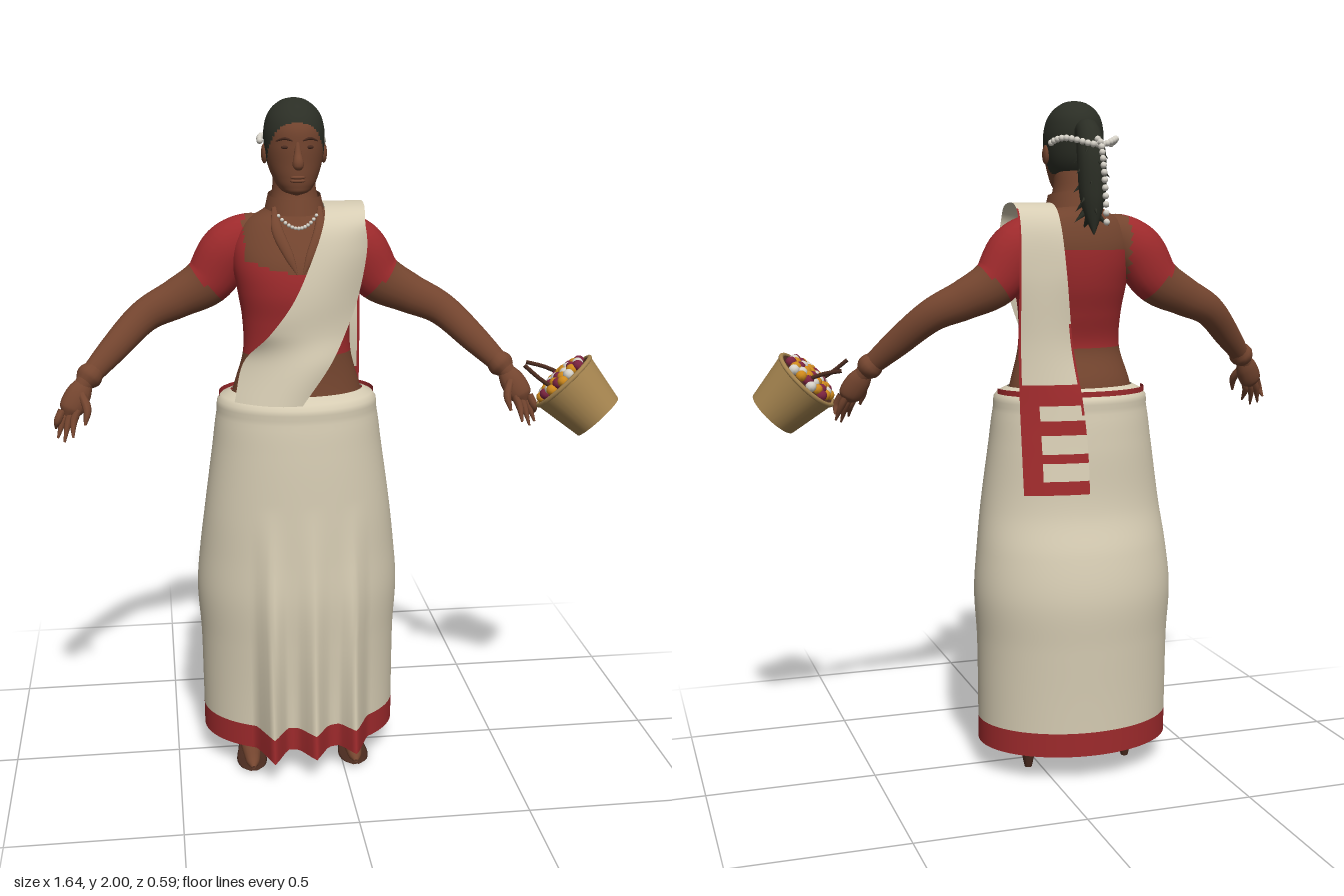
import * as THREE from 'three';

const CX = -0.12; // body centre line
const mat = (name, color, side = THREE.FrontSide) => {
  const m = new THREE.MeshStandardMaterial({ color, side });
  m.name = name;
  return m;
};

export function createModel() {
  const root = new THREE.Group();
  root.name = 'womanWithBasket';
  const skin = mat('skin brown', 0x74452f, THREE.DoubleSide);
  const red = mat('blouse red', 0x9e2a2c, THREE.DoubleSide);
  const cream = mat('cloth cream', 0xd6ccb3, THREE.DoubleSide);
  const hair = mat('hair black', 0x2b2e25);
  const wicker = mat('wicker tan', 0xa5844f);
  const pearl = mat('pearl white', 0xd6d2c8);
  const orange = mat('flower orange', 0xcf8a1c);
  const plum = mat('flower plum', 0x7c2440);
  const dark = mat('dark brown', 0x4a2b1f);

  const add = (name, geo, material, parent = root) => {
    const m = new THREE.Mesh(geo, material);
    m.name = name;
    parent.add(m);
    return m;
  };
  const ball = (name, m, p, r, parent = root) => {
    const b = add(name, new THREE.SphereGeometry(r, 10, 7), m, parent);
    b.position.set(...p);
    return b;
  };

  // Surface fn(u, v) on a grid; pick() chooses a material for each cell
  function surface(name, nu, nv, closed, fn, mats, pick = () => 0, parent = root) {
    const pos = [], lists = mats.map(() => []), w = closed ? nv : nv + 1;
    for (let i = 0; i <= nu; i++) for (let j = 0; j < w; j++) pos.push(...fn(i / nu, j / nv));
    for (let i = 0; i < nu; i++) for (let j = 0; j < nv; j++) {
      const a = i * w + j, b = i * w + (j + 1) % w, c = b + w, d = a + w;
      const mid = [0, 1, 2].map(k => (pos[a * 3 + k] + pos[b * 3 + k] + pos[c * 3 + k] + pos[d * 3 + k]) / 4);
      lists[pick(...mid, (i + 0.5) / nu, (j + 0.5) / nv)].push(a, b, c, a, c, d);
    }
    const geo = new THREE.BufferGeometry();
    geo.setAttribute('position', new THREE.Float32BufferAttribute(pos, 3));
    geo.setIndex(lists.flat());
    let start = 0;
    lists.forEach((l, k) => { geo.addGroup(start, l.length, k); start += l.length; });
    geo.computeVertexNormals();
    return add(name, geo, mats.length > 1 ? mats : mats[0], parent);
  }
  // Smooth interpolation of rows keyed by their first number
  const sampler = rows => new THREE.CubicInterpolant(rows.map(r => r[0]), rows.flatMap(r => r.slice(1)), rows[0].length - 1);

  // Upright loft from rows [y, half width, front z, back z]
  function loft(name, rows, nu, nv, mats, pick, bump = () => 0) {
    const s = sampler(rows), y0 = rows[0][0], y1 = rows[rows.length - 1][0];
    return surface(name, nu, nv, true, (u, v) => {
      const y = y0 + (y1 - y0) * u, a = v * Math.PI * 2;
      const [w, f, b] = s.evaluate(y);
      const x = CX + w * Math.sin(a);
      return [x, y, (f + b) / 2 + (f - b) / 2 * Math.cos(a) + (Math.cos(a) > 0 ? bump(x, y) : 0)];
    }, mats, pick);
  }
  // Tapered limb through points [x, y, z, radius]
  function limb(name, pts, { mats = [skin], pick, flat = 1, ref = [0, 0, 1], nu = 24, nv = 14, parent = root } = {}) {
    const curve = new THREE.CatmullRomCurve3(pts.map(p => new THREE.Vector3(...p)));
    const radius = sampler(pts.map((p, i) => [i / (pts.length - 1), p[3]]));
    const up = new THREE.Vector3(...ref);
    return surface(name, nu, nv, true, (u, v) => {
      const t = curve.getTangent(u), n = up.clone().cross(t).normalize(), b = t.clone().cross(n);
      const r = Math.max(radius.evaluate(u)[0], 0.001), a = v * Math.PI * 2;
      return curve.getPoint(u).addScaledVector(n, r * Math.cos(a)).addScaledVector(b, r * flat * Math.sin(a)).toArray();
    }, mats, pick, parent);
  }

  // Skirt with front pleats and a red hem
  const pleats = [[-0.22, 0.1], [-0.095, 0.075], [0.03, 0.085]];
  loft('skirt', [
    [0.08, 0.295, 0.2, -0.25], [0.25, 0.296, 0.2, -0.253], [0.4, 0.298, 0.205, -0.258],
    [0.55, 0.306, 0.21, -0.262], [0.68, 0.295, 0.205, -0.24], [0.8, 0.28, 0.2, -0.205],
    [1.0, 0.252, 0.19, -0.19], [1.1, 0.238, 0.18, -0.178], [1.15, 0.225, 0.168, -0.165], [1.165, 0.195, 0.13, -0.125],
  ], 75, 144, [cream, red], (x, y) => (y < 0.152 ? 1 : 0), (x, y) => {
    const k = Math.max(0, (0.85 - y) / 0.77) ** 1.3;
    return pleats.reduce((z, [p, amp]) => z + k * amp * Math.max(0, 1 - Math.abs(x - p) / 0.045), 0);
  });
  // Red edge at the back of the waist
  surface('waistTrim', 2, 32, false, (u, v) => {
    const a = Math.PI * (0.5 + v);
    return [CX + 0.229 * Math.sin(a), 1.138 + u * 0.022, 0.17 * Math.cos(a)];
  }, [red]);

  // Torso: bare midriff, blouse, bare neckline
  loft('torso', [
    [1.1, 0.205, 0.14, -0.14], [1.18, 0.185, 0.125, -0.122], [1.28, 0.158, 0.12, -0.09],
    [1.38, 0.158, 0.128, -0.112], [1.46, 0.17, 0.137, -0.135], [1.54, 0.182, 0.125, -0.146],
    [1.6, 0.175, 0.1, -0.145], [1.66, 0.135, 0.07, -0.13], [1.69, 0.085, 0.055, -0.115],
    [1.73, 0.066, 0.04, -0.1], [1.8, 0.06, 0.03, -0.09],
  ], 70, 64, [skin, red], (x, y, z) => {
    const dx = Math.abs(x - CX), neck = z > -0.03 ? 1.515 + dx * 0.25 : 1.57;
    return y > 1.28 && (y < neck || (dx > 0.15 && y < 1.65)) ? 1 : 0;
  });

  // Collar, lapels and necklace
  surface('collar', 6, 40, true, (u, v) => {
    const a = v * Math.PI * 2, back = (1 - Math.cos(a)) / 2, r = 1 - 0.12 * u;
    return [CX + 0.086 * r * Math.sin(a), 1.675 + 0.02 * back + u * 0.045, -0.025 + 0.092 * r * Math.cos(a)];
  }, [skin]);
  for (const s of [-1, 1]) {
    limb('lapel', [[CX + s * 0.065, 1.7, 0.045, 0.006], [CX + s * 0.06, 1.64, 0.085, 0.016],
      [CX + s * 0.03, 1.57, 0.118, 0.013], [CX + s * 0.008, 1.52, 0.132, 0.002]], { flat: 0.5 });
  }
  for (let i = -6; i <= 6; i++) {
    ball('necklaceBead', pearl, [CX + i * 0.009, 1.645 + i * i * 0.0009, 0.092 - i * i * 0.0008], 0.0055);
  }

  // Draped sash: [row, left x, right x, y, left z, right z, bulge]
  const drape = sampler([
    [-0.31, -0.12, 1.15, 0.1, 0.172, 0.03], [-0.28, -0.04, 1.26, 0.07, 0.155, 0.045],
    [-0.21, 0.01, 1.35, 0.14, 0.12, 0.025], [-0.14, 0.05, 1.45, 0.155, 0.095, 0.02],
    [-0.08, 0.075, 1.58, 0.135, 0.09, 0.01], [-0.05, 0.07, 1.66, 0.1, 0.085, 0],
    [-0.04, 0.075, 1.7, 0.03, 0.03, 0], [-0.04, 0.08, 1.7, -0.08, -0.08, 0],
    [-0.04, 0.085, 1.64, -0.145, -0.14, 0], [-0.05, 0.09, 1.5, -0.17, -0.16, 0],
    [-0.07, 0.09, 1.3, -0.165, -0.15, -0.01], [-0.09, 0.09, 1.14, -0.195, -0.16, -0.01],
    [-0.1, 0.09, 1, -0.215, -0.18, -0.01], [-0.1, 0.09, 0.87, -0.235, -0.2, -0.01],
  ].map((r, i) => [i, ...r]));
  const stripes = [[1.13, 1.18], [1.04, 1.08], [0.96, 0.99], [0.86, 0.905]];
  surface('sash', 130, 24, false, (u, v) => {
    const [l, r, y, zl, zr, bulge] = drape.evaluate(u * 13);
    return [l + (r - l) * v, y, zl + (zr - zl) * v + bulge * 4 * v * (1 - v)];
  }, [cream, red], (x, y, z, u, v) => {
    if (z > -0.1) return 0;
    const low = y < 1.18;
    return v > 0.94 || (low && v > 0.7) || (y < 1.35 && y > 1.1 && v < 0.06) || stripes.some(([a, b]) => y > a && y < b) ? 1 : 0;
  });

  // Arms, hands and bangles
  for (const s of [-1, 1]) {
    const side = s > 0 ? 'left' : 'right';
    const at = pts => pts.map(([dx, ...rest]) => [CX + s * dx, ...rest]);
    limb(side + 'Arm', at([[0.05, 1.61, -0.045, 0.05], [0.13, 1.605, -0.05, 0.07], [0.19, 1.565, -0.055, 0.082],
      [0.25, 1.48, -0.06, 0.074], [0.34, 1.43, -0.055, 0.06], [0.435, 1.385, -0.035, 0.049],
      [0.53, 1.3, 0.02, 0.041], [0.61, 1.22, 0.07, 0.028], [0.625, 1.2, 0.078, 0.024]]), {
      mats: [skin, red], nu: 60, nv: 20, flat: 0.82,
      pick: (x, y) => {
        const dx = Math.abs(x - CX);
        return dx > 0.15 && dx * 0.75 - (y - 1.465) * 0.66 < 0.19 ? 1 : 0;
      },
    });
    limb(side + 'Bangle', at([[0.585, 1.247, 0.053, 0.03], [0.595, 1.237, 0.06, 0.037], [0.605, 1.227, 0.066, 0.037], [0.615, 1.216, 0.073, 0.028]]), { nu: 8 });
    limb(side + 'Palm', at([[0.61, 1.22, 0.07, 0.022], [0.632, 1.185, 0.085, 0.036], [0.655, 1.145, 0.1, 0.034], [0.665, 1.125, 0.108, 0.01]]), { flat: 0.7 });
    const fingers = [[0.025, 0.015, 0.7, 1.09, 0.1], [0.01, 0.005, 0.694, 1.068, 0.125], [-0.005, 0.012, 0.675, 1.06, 0.14], [-0.02, 0.02, 0.65, 1.075, 0.15]];
    fingers.forEach(([ox, oz, x, y, z]) => limb(side + 'Finger',
      at([[0.655 + ox, 1.145, 0.09 + oz, 0.011], [0.668 + ox, 1.115, 0.1 + oz, 0.011], [x, y, z, 0.003]]), { nu: 8, nv: 8 }));
    limb(side + 'Thumb', at([[0.625, 1.19, 0.095, 0.012], [0.608, 1.15, 0.13, 0.012], [0.615, 1.11, 0.15, 0.004]]), { nu: 8, nv: 8 });

    // Leg, foot and heeled shoe
    const fx = CX + s * 0.158;
    limb(side + 'Leg', [[fx, 0.06, -0.055, 0.03], [fx, 0.14, -0.055, 0.034], [fx, 0.35, -0.05, 0.058], [fx, 0.6, -0.03, 0.07]]);
    limb(side + 'Foot', [[fx, 0.075, -0.1, 0.012], [fx, 0.075, -0.06, 0.038], [fx, 0.06, 0.02, 0.038],
      [fx, 0.032, 0.1, 0.028], [fx, 0.022, 0.15, 0.02], [fx, 0.016, 0.175, 0.006]], { ref: [0, 1, 0], flat: 0.9 });
    limb(side + 'Sole', [[fx, 0.045, -0.095, 0.02], [fx, 0.04, -0.05, 0.035], [fx, 0.02, 0.03, 0.036],
      [fx, 0.007, 0.1, 0.046], [fx, 0.006, 0.15, 0.036], [fx, 0.006, 0.178, 0.008]], { ref: [0, 1, 0], flat: 0.15, mats: [dark] });
    add(side + 'Heel', new THREE.CylinderGeometry(0.022, 0.011, 0.05, 10), dark).position.set(fx, 0.025, -0.075);

    // Ear, eye and brow
    ball(side + 'Ear', skin, [CX + s * 0.085, 1.845, -0.02], 0.024).scale.set(0.4, 1.2, 0.8);
    ball(side + 'Eye', dark, [CX + s * 0.033, 1.868, 0.072], 0.013).scale.set(1, 0.42, 0.45);
    limb(side + 'Brow', [[CX + s * 0.014, 1.886, 0.08, 0.002], [CX + s * 0.035, 1.892, 0.074, 0.004], [CX + s * 0.058, 1.884, 0.056, 0.002]], { mats: [dark], nu: 8, nv: 8 });
  }

  // Head with swept-back hair
  loft('head', [
    [1.732, 0.002, 0.05, 0.04], [1.74, 0.032, 0.068, -0.01], [1.755, 0.05, 0.075, -0.045], [1.785, 0.066, 0.079, -0.08],
    [1.82, 0.078, 0.08, -0.105], [1.87, 0.086, 0.082, -0.118], [1.92, 0.085, 0.078, -0.12],
    [1.96, 0.071, 0.055, -0.105], [1.985, 0.046, 0.024, -0.078], [1.997, 0.02, -0.005, -0.048], [2.0, 0.001, -0.025, -0.027],
  ], 70, 64, [skin, hair], (x, y, z) => (y > 1.79 && y - 1.925 > (z - 0.065) * 1.6 ? 1 : 0));
  limb('nose', [[CX, 1.885, 0.075, 0.006], [CX, 1.85, 0.083, 0.011], [CX, 1.82, 0.092, 0.016], [CX, 1.808, 0.085, 0.006]], { nu: 12 });
  for (const y of [1.775, 1.785]) ball('lip', skin, [CX, y, 0.077], 0.022).scale.set(1, 0.25, 0.4);

  // Spiky ponytail
  limb('ponytail', [[CX, 1.89, -0.09, 0.03], [CX, 1.91, -0.14, 0.033], [CX, 1.84, -0.175, 0.042],
    [CX, 1.73, -0.185, 0.038], [CX, 1.67, -0.19, 0.025], [CX, 1.615, -0.2, 0.002]], { mats: [hair], ref: [1, 0, 0] });
  for (let i = 0; i < 22; i++) {
    const a = i * 2.4, y = 1.88 - i * 0.0105;
    const lock = add('hairLock', new THREE.ConeGeometry(0.012, 0.05, 6), hair);
    const dir = new THREE.Vector3(Math.sin(a), -0.9, Math.cos(a)).normalize();
    lock.position.set(CX + Math.sin(a) * 0.034, y - 0.015, -0.178 + Math.cos(a) * 0.034);
    lock.quaternion.setFromUnitVectors(new THREE.Vector3(0, 1, 0), dir);
  }

  // Pearl strings in the hair
  for (let i = 0; i <= 20; i++) {
    const a = Math.PI * (i / 20);
    ball('hairPearl', pearl, [CX - 0.092 * Math.cos(a), 1.875 + 0.01 * Math.sin(a * 3), -0.09 - 0.14 * Math.sin(a)], 0.0095);
  }
  for (let i = 0; i < 13; i++) {
    const t = i / 12;
    ball('hangingPearl', pearl, [CX, 1.88 - 0.23 * t ** 1.3, -0.225 - 0.075 * Math.sqrt(t)], 0.0095);
  }

  // Tilted flower basket
  const basket = new THREE.Group();
  basket.name = 'flowerBasket';
  basket.position.set(0.655, 1.19, 0.135);
  basket.quaternion.setFromUnitVectors(new THREE.Vector3(0, 1, 0), new THREE.Vector3(-0.095, 0.1, -0.037).normalize());
  root.add(basket);
  add('basketBody', new THREE.CylinderGeometry(0.105, 0.08, 0.145, 32), wicker, basket).position.y = -0.0725;
  const rim = add('basketRim', new THREE.TorusGeometry(0.102, 0.007, 8, 36), wicker, basket);
  rim.rotation.x = Math.PI / 2;
  add('basketInside', new THREE.CylinderGeometry(0.097, 0.097, 0.006, 32), dark, basket);
  const petals = [orange, pearl, plum, orange, pearl, orange, plum];
  for (let i = 0; i < 42; i++) {
    const r = 0.082 * Math.sqrt((i + 0.5) / 42), a = i * 2.39996;
    ball('flower', petals[i % 7], [r * Math.cos(a), 0.024 - r * r * 2.2, r * Math.sin(a)], 0.0165, basket);
  }
  // Handle sticks
  limb('handleStick', [[0.57, 1.225, 0.025, 0.006], [0.62, 1.215, 0.05, 0.006], [0.68, 1.19, 0.08, 0.006]], { mats: [dark], nu: 6, nv: 8 });
  limb('handleStick', [[0.53, 1.245, 0.15, 0.006], [0.57, 1.21, 0.17, 0.006], [0.62, 1.175, 0.19, 0.006]], { mats: [dark], nu: 6, nv: 8 });

  return root;
}
